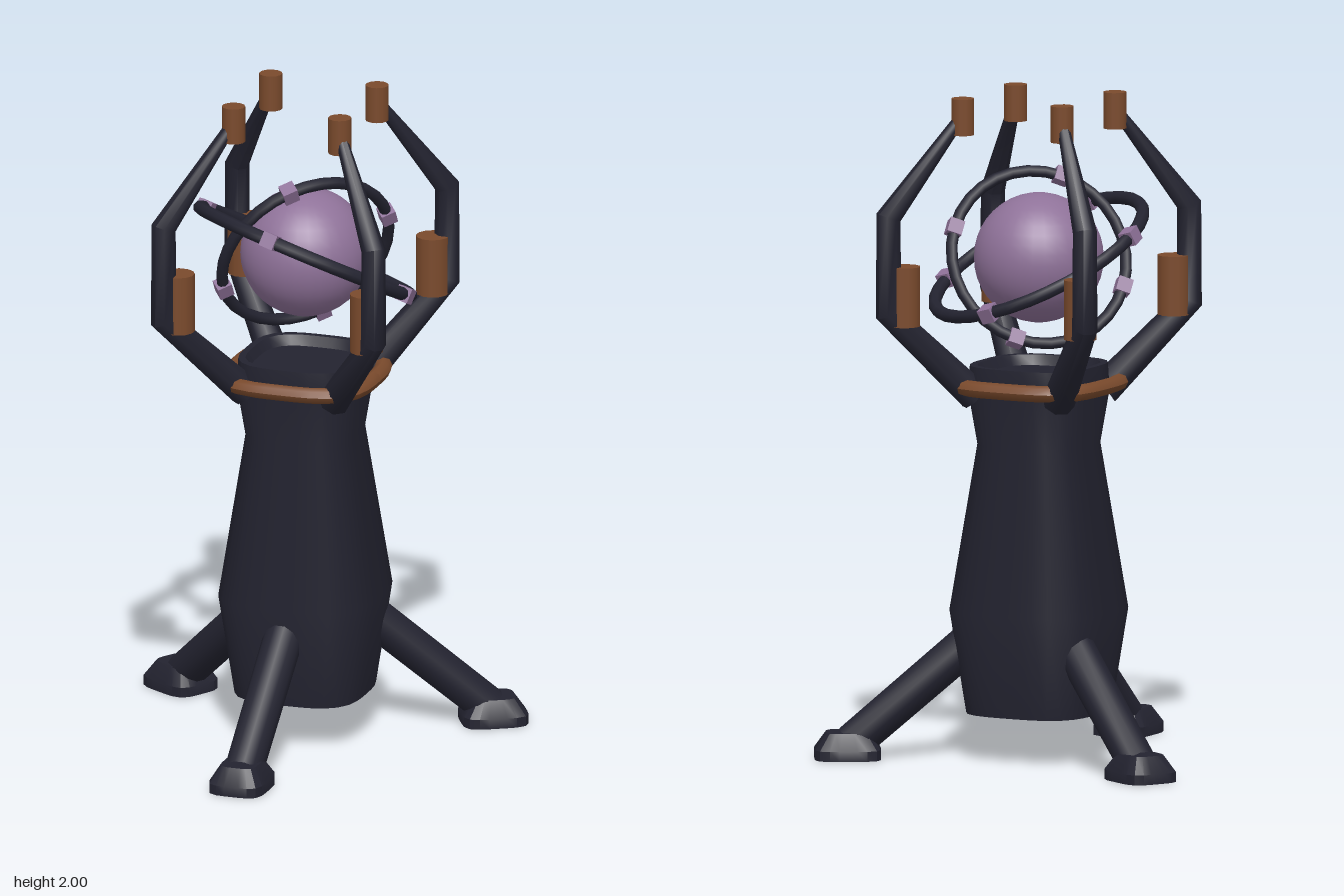
import * as THREE from 'three';
import { toCreasedNormals } from 'three/addons/utils/BufferGeometryUtils.js';

const CENTRE_Z = -0.14;
const ORB_Y = 1.51;

function material(name, color) {
  const m = new THREE.MeshStandardMaterial({ color });
  m.name = name;
  return m;
}

function add(parent, name, geometry, mat, x = 0, y = 0, z = 0) {
  const mesh = new THREE.Mesh(geometry, mat);
  mesh.name = name;
  mesh.position.set(x, y, z);
  parent.add(mesh);
  return mesh;
}

// Push a round section about the y axis out towards a rounded square
function squareOff(geometry, power) {
  const p = geometry.attributes.position;
  for (let i = 0; i < p.count; i++) {
    const x = p.getX(i), z = p.getZ(i), r = Math.hypot(x, z);
    if (r < 1e-6) continue;
    const k = Math.pow(Math.abs(x / r) ** power + Math.abs(z / r) ** power, -1 / power);
    p.setX(i, x * k);
    p.setZ(i, z * k);
  }
  geometry.computeVertexNormals();
  return geometry;
}

function squareLathe(profile, power, segments) {
  const points = profile.map(([r, y]) => new THREE.Vector2(r, y));
  return toCreasedNormals(squareOff(new THREE.LatheGeometry(points, segments), power), 0.55);
}

// Mitred, tapering tube along a bent path of [x, y, radius] in the xy plane
function bentTube(path, sides) {
  const pos = [], index = [];
  const pts = path.map(([x, y]) => new THREE.Vector2(x, y));
  path.forEach(([x, y, r], i) => {
    const before = pts[i].clone().sub(pts[Math.max(i - 1, 0)]).normalize();
    const after = pts[Math.min(i + 1, pts.length - 1)].clone().sub(pts[i]).normalize();
    const t = before.clone().add(after).normalize();
    const mitre = 1 / Math.max(t.dot(i ? before : after), 0.5);
    for (let j = 0; j < sides; j++) {
      const a = (j + 0.5) / sides * Math.PI * 2;
      const c = Math.cos(a) * r * mitre;
      pos.push(x + t.y * c, y - t.x * c, Math.sin(a) * r);
      if (i === path.length - 1) continue;
      const p = i * sides + j, q = i * sides + (j + 1) % sides;
      index.push(p, p + sides, q, q, p + sides, q + sides);
    }
  });
  const g = new THREE.BufferGeometry();
  g.setAttribute('position', new THREE.Float32BufferAttribute(pos, 3));
  g.setIndex(index);
  return toCreasedNormals(g, 0.85);
}

export function createModel() {
  const dark = material('dark metal', 0x232330);
  const bronze = material('bronze', 0x7a4a2c);
  const violet = material('violet', 0x8f7299);

  const model = new THREE.Group();
  model.name = 'orbPedestal';
  const body = new THREE.Group();
  body.name = 'pedestal';
  body.position.z = CENTRE_Z;
  model.add(body);

  // Rounded-square column with a shallow recess in the top
  add(body, 'column', squareLathe([
    [0, 0.14], [0.195, 0.14], [0.24, 0.45], [0.165, 0.95], [0.19, 1.11],
    [0.185, 1.19], [0.165, 1.19], [0.15, 1.16], [0, 1.16],
  ], 3.3, 32), dark);

  // Bronze collar
  const collar = new THREE.TorusGeometry(0.215, 0.025, 8, 32).rotateX(Math.PI / 2);
  add(body, 'collar', squareOff(collar, 3.3), bronze, 0, 1.13, 0);

  // Three splayed legs with chamfered feet
  const legGeometry = bentTube([
    [0.14, 0.405, 0.06], [0.2, 0.355, 0.06], [0.56, 0.045, 0.058],
  ], 12);
  const footGeometry = squareLathe([
    [0, 0], [0.085, 0], [0.085, 0.03], [0.055, 0.08], [0, 0.08],
  ], 4.5, 24).scale(1.17, 1, 1);
  for (let i = 0; i < 3; i++) {
    const leg = new THREE.Group();
    leg.name = 'leg' + (i + 1);
    leg.rotation.y = -Math.PI / 2 + i * Math.PI * 2 / 3;
    body.add(leg);
    add(leg, 'strut', legGeometry, dark);
    add(leg, 'foot', footGeometry, dark, 0.572, 0, 0);
  }

  // Four bent arms, each with an elbow sleeve and a tip cap
  const armGeometry = bentTube([
    [0.2, 1.1, 0.05], [0.47, 1.36, 0.038], [0.47, 1.65, 0.036], [0.238, 1.95, 0.017],
  ], 8);
  const sleeveGeometry = new THREE.CylinderGeometry(0.05, 0.05, 0.18, 12);
  const capGeometry = new THREE.CylinderGeometry(0.035, 0.035, 0.11, 12);
  for (let i = 0; i < 4; i++) {
    const arm = new THREE.Group();
    arm.name = 'arm' + (i + 1);
    arm.rotation.y = Math.PI / 4 + i * Math.PI / 2;
    body.add(arm);
    add(arm, 'armTube', armGeometry, dark);
    add(arm, 'elbowSleeve', sleeveGeometry, bronze, 0.422, 1.41, 0);
    add(arm, 'tipCap', capGeometry, bronze, 0.238, 1.945, 0);
  }

  // Floating orb
  add(body, 'orb', new THREE.SphereGeometry(0.195, 32, 20), violet, 0, ORB_Y, 0);

  // Tilted rings, each carrying four small blocks
  const block = new THREE.BoxGeometry(0.045, 0.045, 0.045);
  function orbitRing(name, radius, tube, u, v) {
    const ring = new THREE.Group();
    ring.name = name;
    const ex = new THREE.Vector3(...u).normalize();
    const ez = ex.clone().cross(new THREE.Vector3(...v)).normalize();
    const ey = ez.clone().cross(ex);
    ring.quaternion.setFromRotationMatrix(new THREE.Matrix4().makeBasis(ex, ey, ez));
    ring.position.y = ORB_Y;
    body.add(ring);
    add(ring, 'hoop', new THREE.TorusGeometry(radius, tube, 8, 32), dark);
    for (let i = 0; i < 4; i++) {
      const a = i * Math.PI / 2;
      add(ring, 'block', block, violet, Math.cos(a) * radius, Math.sin(a) * radius, 0).rotation.z = a;
    }
  }
  orbitRing('outerRing', 0.343, 0.02, [0, 0.13, 0.32], [0.335, -0.094, 0.03]);
  orbitRing('innerRing', 0.27, 0.018, [0, 0.225, 0.145], [0.22, 0.1, -0.15]);

  return model;
}
